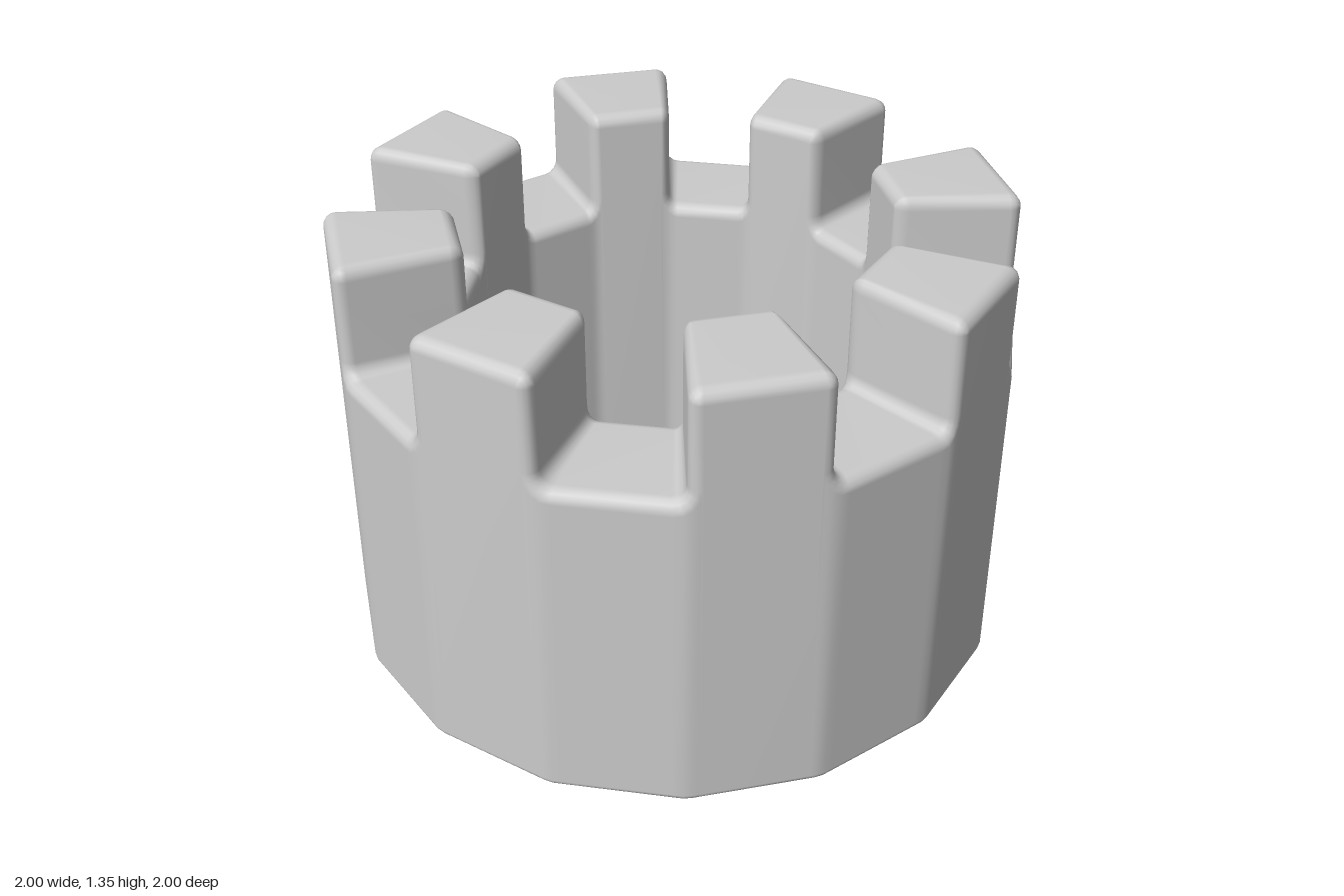
import * as THREE from 'three';
import { mergeVertices } from 'three/addons/utils/BufferGeometryUtils.js';

const SIDES = 16, OUTER = 1, INNER = 0.63;
const LOW = 1.02, HIGH = 1.35;       // notch floor and tooth top
const BEVEL = 0.04, FOOT = 0.02, STEPS = 4;
const SIDE = 2 * OUTER * Math.sin(Math.PI / SIDES);

// Point on a 16-sided ring; s counts sides around it
function ringPoint(s, r, y) {
  const k = Math.floor(s), f = s - k;
  const a = (k * 2 * Math.PI) / SIDES, b = ((k + 1) * 2 * Math.PI) / SIDES;
  return [
    r * (Math.cos(a) * (1 - f) + Math.cos(b) * f), y,
    r * (Math.sin(a) * (1 - f) + Math.sin(b) * f),
  ];
}

// Unrolled outline of one tooth: fillet, wall, rounded top corner, then its mirror
function toothOutline() {
  const half = [];
  for (let i = 0; i <= STEPS; i++) {
    const a = -Math.PI / 2 + (i / STEPS) * Math.PI / 2, c = Math.cos(a), n = Math.sin(a);
    half.push({ t: BEVEL * (c - 1), h: LOW + BEVEL * (1 + n), nt: -c, nh: -n });
  }
  for (let i = 0; i <= STEPS; i++) {
    const a = Math.PI - (i / STEPS) * Math.PI / 2, c = Math.cos(a), n = Math.sin(a);
    half.push({ t: BEVEL * (1 + c), h: HIGH + BEVEL * (n - 1), nt: c, nh: n });
  }
  const mirrored = half.map((p) => ({ t: SIDE - p.t, h: p.h, nt: -p.nt, nh: p.nh }));
  return half.concat(mirrored.reverse());
}

// Closed radial section at one outline point
function section(p, start) {
  const pts = [];
  const at = (r, inset, y) =>
    pts.push(ringPoint(start + (p.t - p.nt * inset) / SIDE, r, y ?? p.h - p.nh * inset));
  // rounded outer foot
  for (let i = 0; i <= STEPS; i++) {
    const a = (i / STEPS) * Math.PI / 2;
    at(OUTER - FOOT * (1 - Math.sin(a)), BEVEL, FOOT * (1 - Math.cos(a)));
  }
  // rounded outer and inner top edges
  for (let i = 0; i <= STEPS; i++) {
    const a = (i / STEPS) * Math.PI / 2;
    at(OUTER - BEVEL * (1 - Math.cos(a)), BEVEL * (1 - Math.sin(a)));
  }
  for (let i = STEPS; i >= 0; i--) {
    const a = (i / STEPS) * Math.PI / 2;
    at(INNER + BEVEL * (1 - Math.cos(a)), BEVEL * (1 - Math.sin(a)));
  }
  // crisp inner foot
  at(INNER, BEVEL, 0.005);
  at(INNER + 0.005, BEVEL, 0);
  return pts;
}

export function createModel() {
  const outline = toothOutline(), sections = [];
  for (let k = 0; k < SIDES; k += 2) for (const p of outline) sections.push(section(p, k));

  // Skin neighbouring sections all the way round
  const n = sections.length, m = sections[0].length, index = [];
  for (let i = 0; i < n; i++) {
    for (let j = 0; j < m; j++) {
      const i2 = (i + 1) % n, j2 = (j + 1) % m;
      const a = i * m + j, b = i * m + j2, c = i2 * m + j2, d = i2 * m + j;
      index.push(a, b, d, b, c, d);
    }
  }
  let geo = new THREE.BufferGeometry();
  geo.setAttribute('position', new THREE.Float32BufferAttribute(sections.flat(2), 3));
  geo.setIndex(index);
  geo = mergeVertices(geo, 1e-5);
  geo.computeVertexNormals();

  const ring = new THREE.Mesh(geo, new THREE.MeshStandardMaterial({ color: 0xcccccc }));
  ring.name = 'crenellatedRing';
  const group = new THREE.Group();
  group.name = 'castleTower';
  group.add(ring);
  return group;
}
